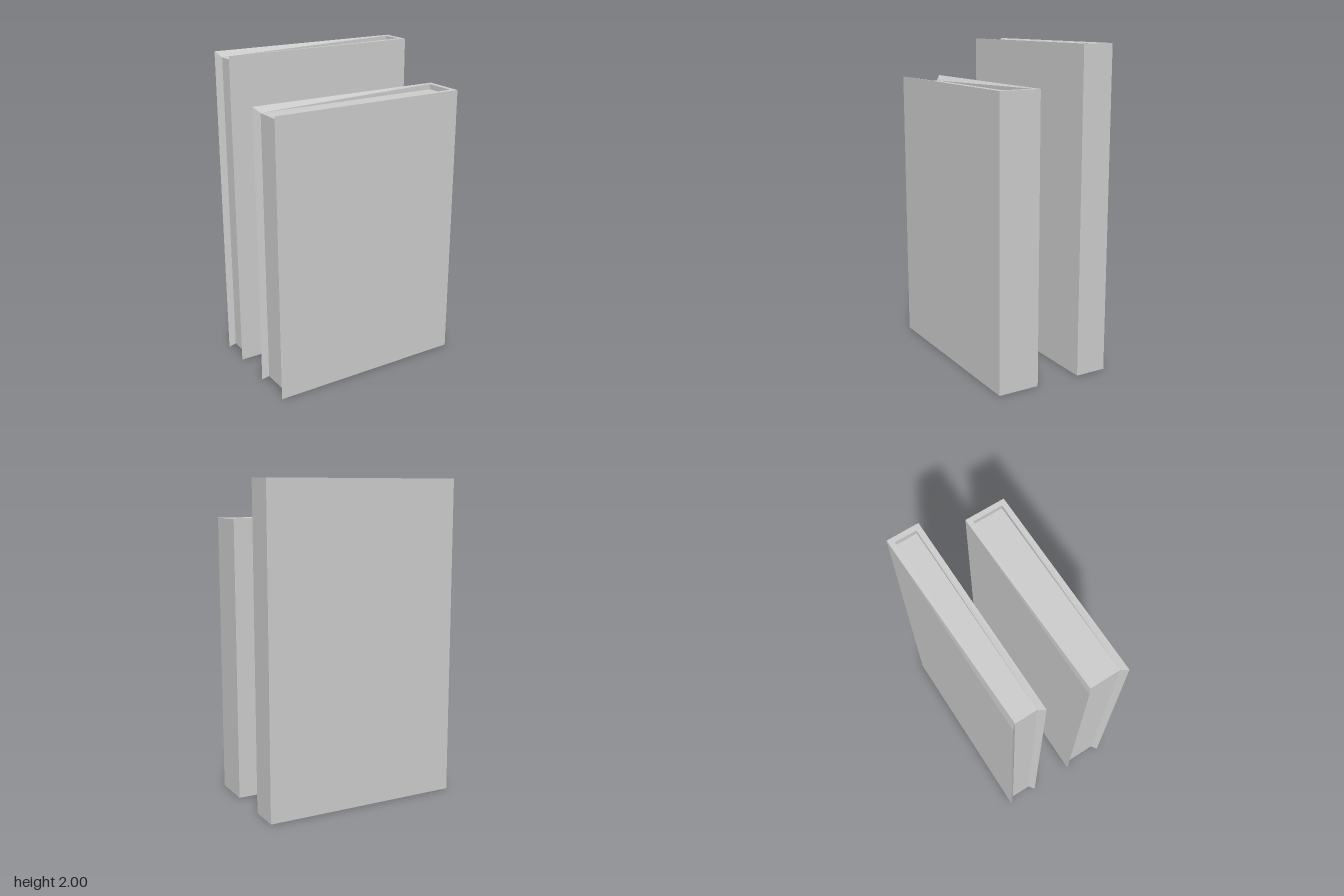
import * as THREE from 'three';

const X = 0.63;   // half width of the cover
const T = 0.033;  // board thickness and page recess

// Cover shell: two boards and a spine, with rims that dip towards the fore edge
function coverGeometry(h, d) {
  const x = X - T, e = d - T, low = h - T;
  const pos = [];
  // Adds a convex polygon, mirrored in y and z by the given signs
  const face = (sy, sz, ...pts) => {
    const p = pts.map(([a, b, c]) => [a, b * sy, c * sz]);
    if (sy * sz < 0) p.reverse();
    for (let i = 1; i < p.length - 1; i++) pos.push(...p[0], ...p[i], ...p[i + 1]);
  };

  for (const sz of [1, -1]) {
    // outside of the board, then its bevelled fore edge
    face(1, sz, [-X, -h, d], [X, -h, d], [X, h, d], [-X, h, d]);
    face(1, sz, [-X, -h, d], [-X, h, d], [-x, low, e], [-x, -low, e]);
    for (const sy of [1, -1]) {
      // twisted rim and the tapering wall down to the pages
      face(sy, sz, [-X, h, d], [X, h, d], [x, h, e], [-x, low, e]);
      face(sy, sz, [x, h, e], [x, low, e], [-x, low, e]);
    }
  }
  // spine: outside, flat end rims and inner walls
  face(1, 1, [X, -h, d], [X, -h, -d], [X, h, -d], [X, h, d]);
  for (const sy of [1, -1]) {
    face(sy, 1, [X, h, d], [X, h, -d], [x, h, -e], [x, h, e]);
    face(sy, 1, [x, low, -e], [x, low, e], [x, h, e], [x, h, -e]);
  }

  const g = new THREE.BufferGeometry();
  g.setAttribute('position', new THREE.Float32BufferAttribute(pos, 3));
  g.computeVertexNormals();
  return g;
}

function makeBook(name, height, zBack, zFront, material) {
  const h = height / 2, d = (zFront - zBack) / 2;
  const book = new THREE.Group();
  book.name = name;

  const cover = new THREE.Mesh(coverGeometry(h, d), material);
  cover.name = 'cover';

  // page block fills the cover up to the recess
  const pages = new THREE.Mesh(
    new THREE.BoxGeometry(2 * (X - T), 2 * (h - T), 2 * (d - T)), material);
  pages.name = 'pages';

  book.add(cover, pages);
  book.position.set(0, h, (zFront + zBack) / 2);
  return book;
}

export function createModel() {
  const material = new THREE.MeshStandardMaterial({ color: 0xcccccc, flatShading: true });
  const model = new THREE.Group();
  model.name = 'books';
  model.add(
    makeBook('tallBook', 2, -0.375, -0.175, material),
    makeBook('shortBook', 1.76, 0.112, 0.375, material));
  return model;
}
